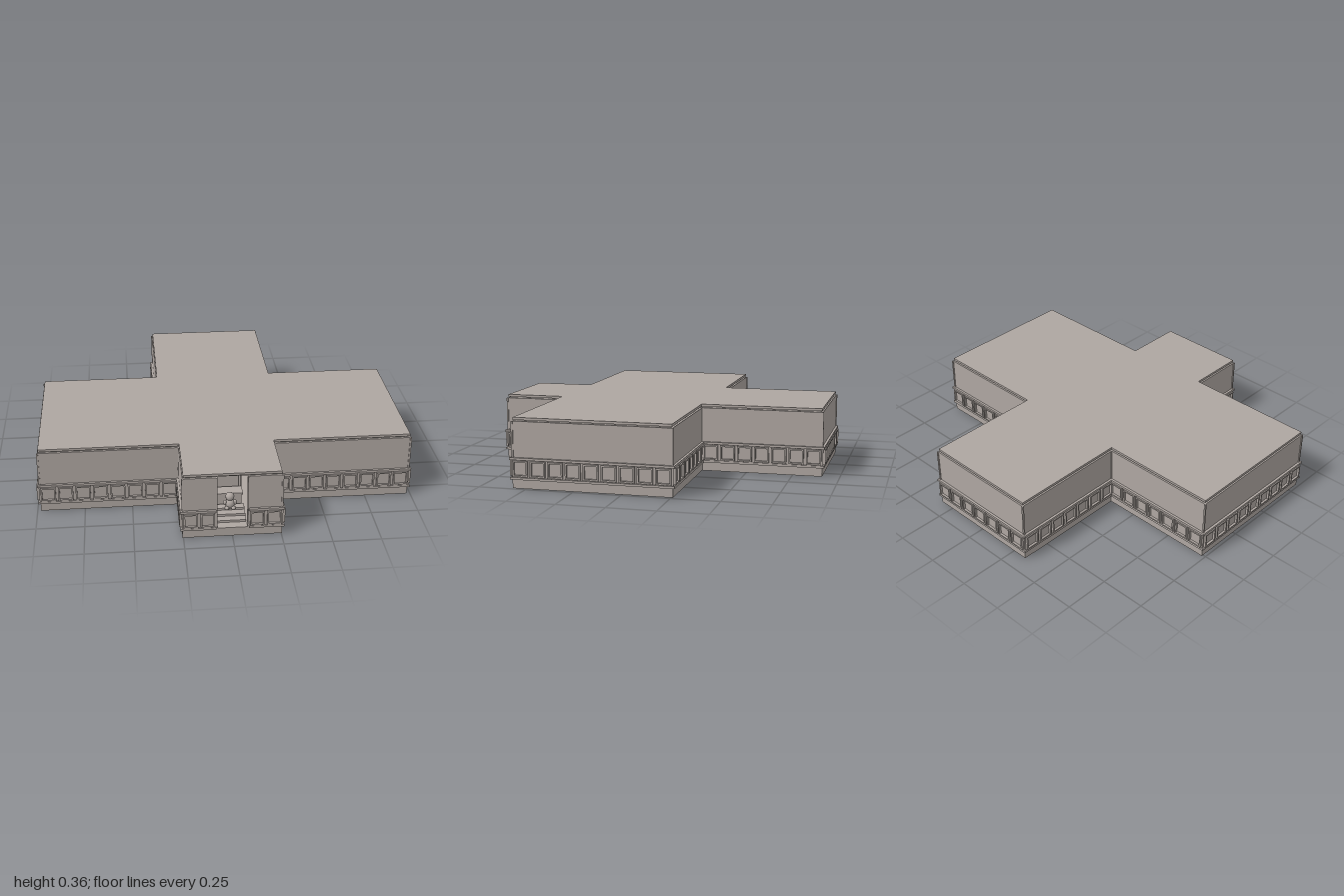
import * as THREE from 'three';

const stone = new THREE.MeshStandardMaterial({ color: 0xaea6a1 });
stone.name = 'warm grey stone';
const DOOR = 0.083;

// Half of the cross-shaped plan as [x, z], grown outward by d
const halfPlan = (d) => [
  [0.252, 0.897 + d], [0.252, 0.572 + d], [0.98, 0.572 + d],
  [0.98, -0.257 - d], [0.332, -0.257 - d], [0.332, -0.905 - d],
].map(([x, z]) => [x + d, z]);

const fullPlan = (d) => {
  const h = halfPlan(d);
  return [...h, ...h.map(([x, z]) => [-x, z]).reverse()];
};

const toShape = (pts) => new THREE.Shape(pts.map(([x, z]) => new THREE.Vector2(x, -z)));

export function createModel() {
  const model = new THREE.Group();
  model.name = 'hall';

  const add = (name, geo, x = 0, y = 0, z = 0, parent = model) => {
    const m = new THREE.Mesh(geo, stone);
    m.name = name;
    m.position.set(x, y, z);
    parent.add(m);
    return m;
  };
  const box = (name, w, h, d, x, y, z, parent) =>
    add(name, new THREE.BoxGeometry(w, h, d), x, y, z, parent);

  // Extrudes a plan outline between two heights
  const raise = (name, pts, y0, y1) => {
    const geo = new THREE.ExtrudeGeometry(toShape(pts), { depth: y1 - y0, bevelEnabled: false });
    geo.rotateX(-Math.PI / 2);
    return add(name, geo, 0, y0, 0);
  };
  const slab = (name, d, y0, y1) => raise(name, fullPlan(d), y0, y1);
  // Wall strip around the plan, open at the doorway
  const band = (name, outer, inner, y0, y1) => raise(name, [
    [DOOR, 0.897 + outer], ...fullPlan(outer), [-DOOR, 0.897 + outer],
    [-DOOR, 0.897 + inner], ...fullPlan(inner).reverse(), [DOOR, 0.897 + inner],
  ], y0, y1);

  // Base, walls, rails and roof
  slab('base', 0.002, 0, 0.048);
  band('walls', 0, -0.02, 0.048, 0.343);
  band('wainscot', 0.005, -0.005, 0.05, 0.155);
  band('lowerRail', 0.012, -0.005, 0.046, 0.058);
  band('upperRail', 0.013, -0.005, 0.147, 0.159);
  slab('roofNeck', -0.012, 0.342, 0.35);
  slab('roof', -0.004, 0.349, 0.362);

  // Thin strips up each corner
  fullPlan(0).forEach(([x, z]) => box('cornerStrip', 0.009, 0.185, 0.009, x, 0.25, z));

  // One raised frame with a plain field, facing +z
  const frameGeo = (w, h) => {
    const s = new THREE.Shape();
    s.moveTo(-w / 2, -h / 2).lineTo(w / 2, -h / 2).lineTo(w / 2, h / 2).lineTo(-w / 2, h / 2);
    const p = new THREE.Path();
    const a = w / 2 - 0.008, b = h / 2 - 0.008;
    p.moveTo(-a, -b).lineTo(-a, b).lineTo(a, b).lineTo(a, -b);
    s.holes.push(p);
    return new THREE.ExtrudeGeometry(s, { depth: 0.014, bevelEnabled: false });
  };

  // Rows of frames along every wall face
  const panels = new THREE.Group();
  panels.name = 'wainscotPanels';
  model.add(panels);
  const row = (a, b) => {
    const dx = b[0] - a[0], dz = b[1] - a[1];
    const len = Math.hypot(dx, dz);
    const n = Math.max(1, Math.round(len / 0.091));
    const pitch = len / n;
    const geo = frameGeo(pitch - 0.013, 0.082);
    for (let i = 0; i < n; i++) {
      const t = (i + 0.5) / n;
      const m = add('panelFrame', geo, a[0] + dx * t, 0.103, a[1] + dz * t, panels);
      m.rotation.y = Math.atan2(-dz, dx);
    }
  };
  const plan = fullPlan(0.003);
  for (let i = 0; i < plan.length - 1; i++) row(plan[i], plan[i + 1]);
  // The plan runs front to back, so frames on the two front pieces start at the door
  row([DOOR, 0.9], plan[0]);
  row(plan[plan.length - 1], [-DOOR, 0.9]);

  // Door jambs
  for (const s of [-1, 1]) box('doorJamb', 0.008, 0.292, 0.03, s * 0.081, 0.196, 0.887);

  // Shrine inside the entrance
  const shrine = new THREE.Group();
  shrine.name = 'shrine';
  shrine.position.set(0, 0.048, 0.7);
  model.add(shrine);
  for (let i = 0; i < 3; i++)
    box('step', 0.15, 0.012 * (i + 1), 0.04, 0, 0.006 * (i + 1), 0.13 - i * 0.04, shrine);
  box('altar', 0.13, 0.08, 0.06, 0, 0.04, -0.02, shrine);
  box('altarTop', 0.145, 0.01, 0.07, 0, 0.085, -0.02, shrine);
  box('backPanel', 0.15, 0.2, 0.01, 0, 0.1, -0.08, shrine);
  for (const s of [-1, 1]) {
    add('column', new THREE.CylinderGeometry(0.007, 0.008, 0.2, 12), s * 0.064, 0.1, -0.06, shrine);
    box('columnHead', 0.022, 0.012, 0.022, s * 0.064, 0.204, -0.06, shrine);
  }
  box('lintel', 0.155, 0.016, 0.04, 0, 0.218, -0.06, shrine);
  const arch = new THREE.Shape().absellipse(0, 0, 0.06, 0.022, 0, Math.PI);
  add('archCrown', new THREE.ExtrudeGeometry(arch, { depth: 0.03, bevelEnabled: false, curveSegments: 16 }),
    0, 0.226, -0.075, shrine);
  add('hangingBowl', new THREE.SphereGeometry(0.045, 20, 10).scale(1, 0.25, 1), 0, 0.268, 0, shrine);

  // Small seated figure before the altar
  const ball = (name, r, x, y, z, sy = 1) =>
    add(name, new THREE.SphereGeometry(r, 16, 12).scale(1, sy, 1), x, y, z, shrine);
  ball('figureBody', 0.026, 0, 0.06, 0.06, 1.1);
  ball('figureHead', 0.023, 0, 0.1, 0.06);
  for (const s of [-1, 1]) {
    ball('figureArm', 0.01, s * 0.026, 0.068, 0.066, 1.5);
    ball('figureFoot', 0.012, s * 0.017, 0.042, 0.08, 0.8);
  }
  return model;
}
